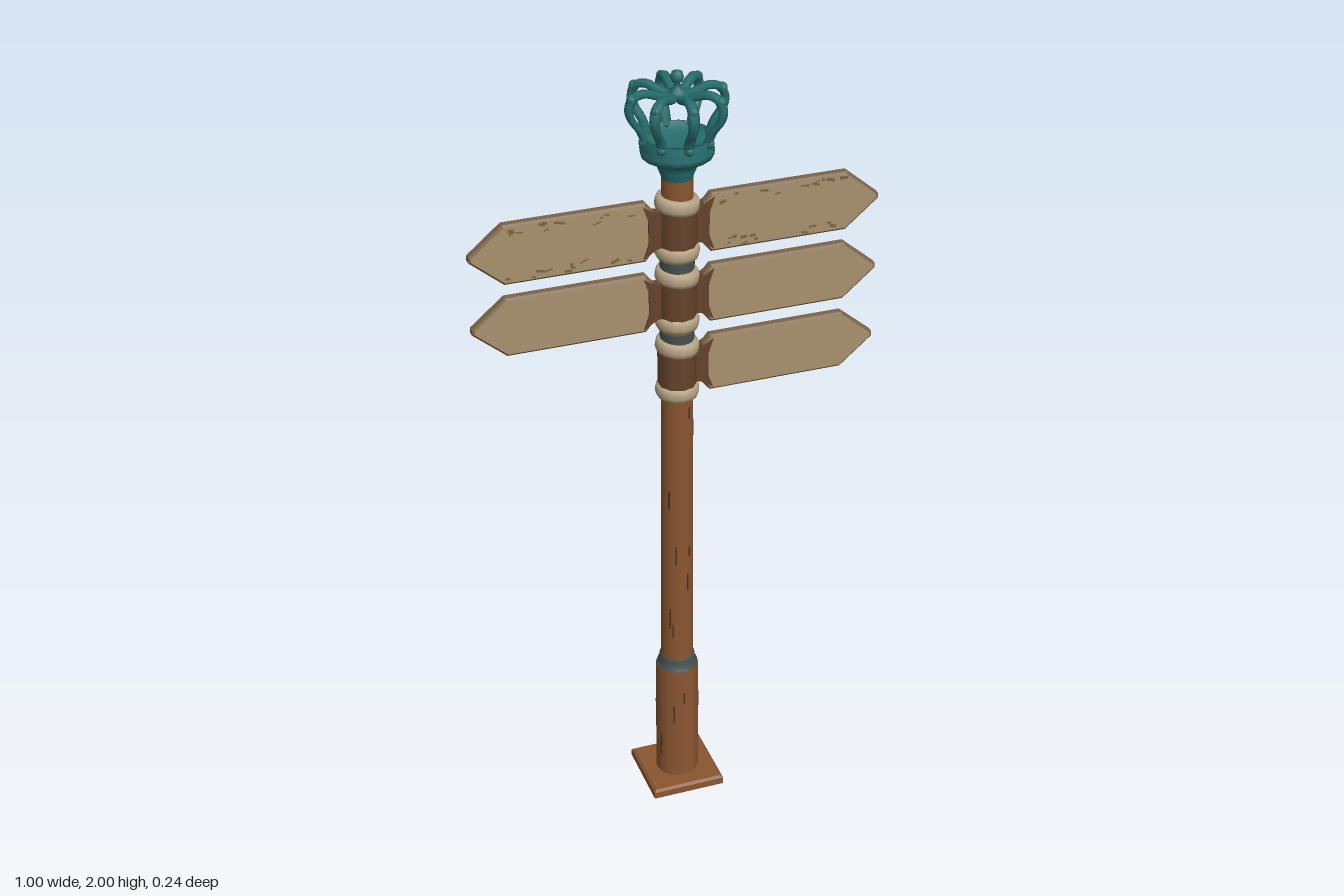
import * as THREE from 'three';

const mat = (name, color) => Object.assign(new THREE.MeshStandardMaterial({ color }), { name });

export function createModel() {
  const root = new THREE.Group();
  root.name = 'signpost';
  const wood = mat('post wood', 0x8a5630);
  const darkWood = mat('dark wood', 0x65432b);
  const board = mat('board tan', 0xa8916f);
  const edge = mat('board edge', 0x7d6347);
  const rope = mat('rope beige', 0xb5a283);
  const teal = mat('crown teal', 0x266c6c);
  const iron = mat('collar iron', 0x46514f);
  const grain = mat('worn grain', 0x48301f);

  const add = (name, geo, material, parent = root) => {
    const m = new THREE.Mesh(geo, material);
    m.name = name;
    parent.add(m);
    return m;
  };
  const lathe = (pts, n = 16) => new THREE.LatheGeometry(pts.map(p => new THREE.Vector2(...p)), n);
  const drum = (name, r0, r1, y0, y1, material, n = 16) => {
    const m = add(name, new THREE.CylinderGeometry(r1, r0, y1 - y0, n), material);
    m.position.y = (y0 + y1) / 2;
    return m;
  };
  const polygon = pts => new THREE.Shape(pts.map(p => new THREE.Vector2(...p)));
  let seed = 7;
  const rand = () => (seed = (seed * 16807) % 2147483647) / 2147483647;

  // Square foot with a bevelled upper edge
  const foot = add('foot', new THREE.ExtrudeGeometry(
    polygon([[-0.089, -0.089], [0.089, -0.089], [0.089, 0.089], [-0.089, 0.089]]),
    { depth: 0.018, bevelThickness: 0.006, bevelSize: 0.006, bevelSegments: 1 }), wood);
  foot.rotation.x = -Math.PI / 2;
  foot.position.y = 0.006;

  // Post: thick lower sleeve, metal collar, slim shaft
  drum('lowerPost', 0.055, 0.054, 0.03, 0.365, wood);
  add('postCollar', lathe([[0.054, 0.362], [0.052, 0.37], [0.044, 0.378], [0.045, 0.395], [0.039, 0.4]]), iron);
  drum('shaft', 0.041, 0.037, 0.38, 1.75, wood);

  // Thin worn streaks along the grain
  for (let i = 0; i < 30; i++) {
    const low = i < 10;
    const a = rand() * Math.PI * 2;
    const y = low ? 0.08 + rand() * 0.22 : 0.45 + rand() * 0.68;
    const r = low ? 0.0535 : 0.0405 - 0.004 * (y - 0.38) / 1.37;
    const s = add('woodStreak', new THREE.BoxGeometry(0.004, 0.02 + rand() * 0.05, 0.004), grain);
    s.position.set(Math.sin(a) * r, y, Math.cos(a) * r);
    s.rotation.y = a;
  }

  // Arrow board pointing along +x, tan faces with a darker rim
  const arrow = [[0.066, -0.05], [0.082, -0.07], [0.415, -0.07], [0.493, -0.004],
    [0.493, 0.004], [0.415, 0.07], [0.082, 0.07], [0.066, 0.05]];
  const arrowGeo = new THREE.ExtrudeGeometry(polygon(arrow),
    { depth: 0.016, bevelThickness: 0.004, bevelSize: 0.005, bevelSegments: 1 });
  arrowGeo.translate(0, 0, -0.008);
  const bracketGeo = new THREE.ExtrudeGeometry(
    polygon([[0.02, -0.04], [0.055, -0.045], [0.086, -0.066], [0.074, -0.03],
      [0.074, 0.03], [0.086, 0.066], [0.055, 0.045], [0.02, 0.04]]),
    { depth: 0.032, bevelEnabled: false });
  bracketGeo.translate(0, 0, -0.016);

  const addBoard = (y, side, worn) => {
    const g = new THREE.Group();
    g.name = side > 0 ? 'leftSign' : 'rightSign';
    g.position.y = y;
    g.rotation.y = side > 0 ? 0 : Math.PI;
    root.add(g);
    add('arrowBoard', arrowGeo, [board, edge], g);
    add('signBracket', bracketGeo, darkWood, g);
    // Chipped paint near the rim, both faces
    if (worn) for (let i = 0; i < 22; i++) {
      const c = add('paintChip', new THREE.BoxGeometry(0.006 + rand() * 0.016, 0.003 + rand() * 0.005, 0.0255), edge, g);
      c.position.set(0.1 + rand() * 0.31, (rand() < 0.5 ? -1 : 1) * (0.045 + rand() * 0.022), 0);
      c.rotation.z = (rand() - 0.5) * 0.8;
    }
  };

  // Sign tiers: sleeve, two tilted rope bands and the boards
  const tiers = [[1.615, [1, -1]], [1.43, [1, -1]], [1.243, [1]]];
  tiers.forEach(([y, sides], t) => {
    drum('signSleeve', 0.047, 0.047, y - 0.05, y + 0.05, darkWood, 10);
    for (const s of [-1, 1]) {
      const band = add('ropeBand', lathe([[0.036, -0.018], [0.049, -0.016], [0.053, -0.006],
        [0.053, 0.006], [0.049, 0.016], [0.036, 0.018]], 14), rope);
      band.position.y = y + s * 0.06;
      band.rotation.z = -0.07 - 0.05 * s;
    }
    sides.forEach(side => addBoard(y, side, t === 0));
  });
  for (const y of [1.333, 1.521]) drum('ironRing', 0.041, 0.041, y - 0.012, y + 0.012, iron);

  // Crown: neck and cup
  add('crownCup', lathe([[0.034, 1.725], [0.038, 1.745], [0.046, 1.765], [0.046, 1.778], [0.062, 1.784],
    [0.084, 1.797], [0.086, 1.812], [0.08, 1.818], [0.083, 1.842], [0.074, 1.844], [0.07, 1.822], [0, 1.822]]), teal);

  // Eight curved ribs meeting under the finial
  const ribPath = new THREE.CatmullRomCurve3([[0.076, 1.835], [0.088, 1.865], [0.107, 1.893], [0.114, 1.918],
    [0.105, 1.943], [0.08, 1.953], [0.05, 1.945], [0.025, 1.938], [0, 1.942]]
    .map(([x, y]) => new THREE.Vector3(x, y, 0)));
  const ribGeo = new THREE.TubeGeometry(ribPath, 28, 0.0095, 6);
  for (let i = 0; i < 8; i++) {
    const rib = add('crownRib', ribGeo, teal);
    rib.scale.z = 1.4;
    rib.rotation.y = i * Math.PI / 4;
    // Knob at the shoulder of the rib and stud on the band
    const a = i * Math.PI / 4;
    const knob = add('ribKnob', new THREE.SphereGeometry(0.013, 8, 6), teal);
    knob.position.set(Math.cos(a) * 0.107, 1.942, -Math.sin(a) * 0.107);
    const stud = add('bandStud', new THREE.SphereGeometry(0.012, 8, 6), teal);
    stud.position.set(Math.cos(a) * 0.08, 1.837, -Math.sin(a) * 0.08);
  }

  // Finial
  add('finial', lathe([[0, 1.93], [0.024, 1.936], [0.02, 1.95], [0.008, 1.957], [0.007, 1.968], [0.012, 1.973],
    [0.016, 1.983], [0.012, 1.995], [0, 2]], 12), teal);

  return root;
}
